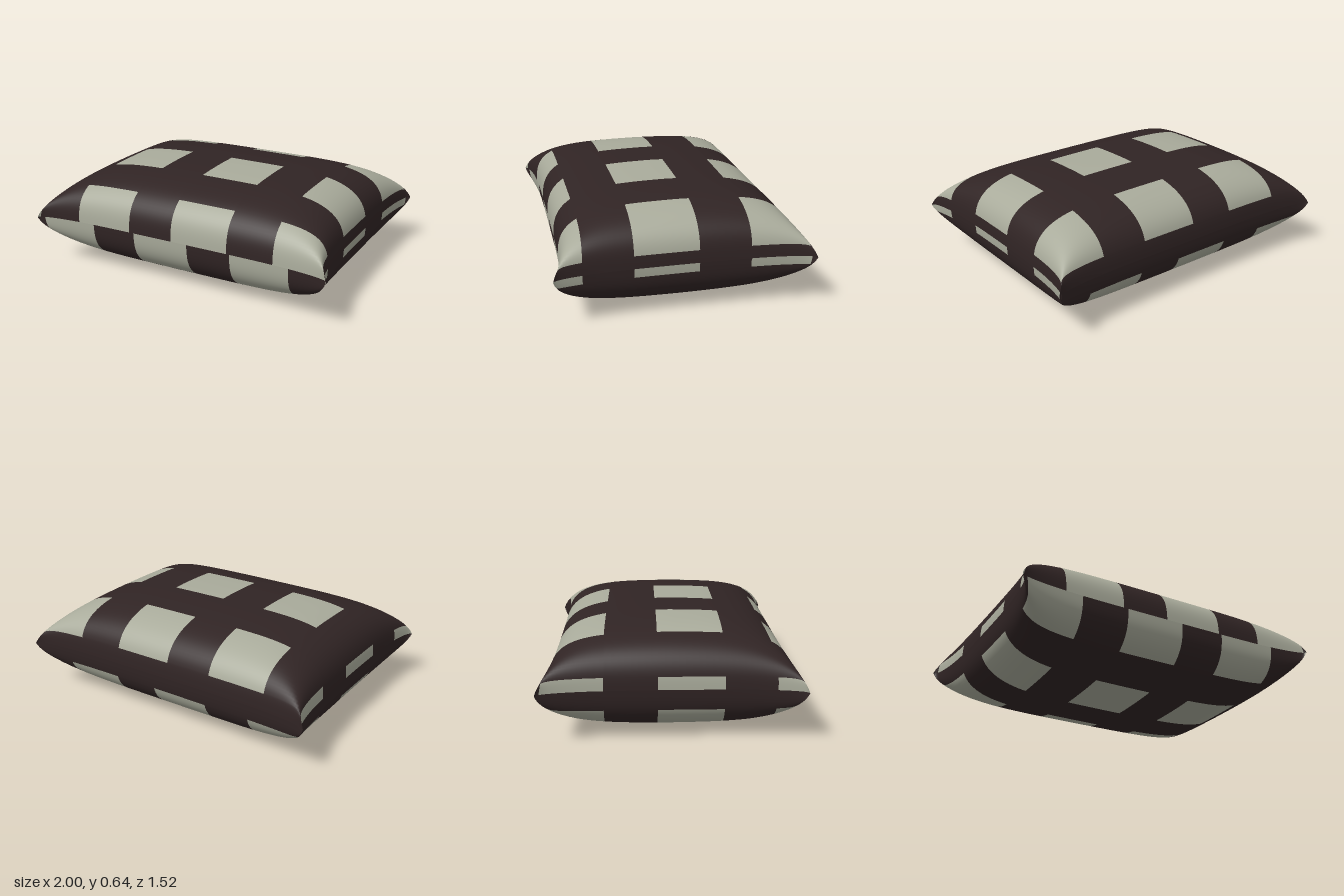
import * as THREE from 'three';

// Flat cloth half sizes, and the printed check: patch width and patch starts
const HALF_U = 1.10, HALF_V = 0.86, PATCH = 0.38;
const TOP_U = [-1.41, -0.71, -0.03, 0.65];
const BOTTOM_U = [-0.98, -0.30, 0.37, 1.05];
const STARTS_V = [-0.765, -0.08, 0.595];

const darkCloth = new THREE.MeshStandardMaterial({ color: 0x302424 });
darkCloth.name = 'darkCloth';
const paleCloth = new THREE.MeshStandardMaterial({ color: 0xa9ab9b });
paleCloth.name = 'paleCloth';

// Grid lines over the cloth, with exact lines along the patch borders
function gridLines(half, starts, count) {
  const borders = starts.flatMap((s) => [s, s + PATCH]).filter((b) => Math.abs(b) < half);
  borders.push(-half, half);
  const lines = [...borders];
  for (let i = 1; i < count; i++) {
    const p = half * Math.sin((i / count - 0.5) * Math.PI); // denser near the seam
    if (borders.every((b) => Math.abs(b - p) > 0.007)) lines.push(p);
  }
  return lines.sort((a, b) => a - b);
}

const inPatch = (p, starts) => starts.some((s) => p > s && p < s + PATCH);

// Cloth pulled inwards by the filling, least at the corners
function pulled(p, half, loss) {
  const d = half - Math.abs(p);
  return Math.sign(p) * (Math.abs(p) - loss * (1 - Math.tanh(d / (1.05 * loss))));
}

// Puffed position of a cloth point; side is 1 for the top and -1 for the bottom
function puff(u, v, side) {
  const du = HALF_U - Math.abs(u), dv = HALF_V - Math.abs(v);
  const x = pulled(u, HALF_U, 0.18 - 0.08 * (1 - Math.tanh(dv / 0.3)));
  const z = pulled(v, HALF_V, 0.17 - 0.07 * (1 - Math.tanh(du / 0.3)));
  const fu = Math.tanh(du / 0.29), fv = Math.tanh(dv / 0.29);
  const rise = fu > 1e-6 && fv > 1e-6 ? 0.32 / Math.sqrt(fu ** -2 + fv ** -2 - 1) : 0;
  return [x, 0.32 + side * rise, z];
}

function panel(name, side, startsU) {
  const us = gridLines(HALF_U, startsU, 80);
  const vs = gridLines(HALF_V, STARTS_V, 70);
  const positions = [], dark = [], pale = [];
  for (const v of vs) for (const u of us) positions.push(...puff(u, v, side));
  for (let j = 0; j < vs.length - 1; j++) {
    for (let i = 0; i < us.length - 1; i++) {
      const a = j * us.length + i, b = a + 1, c = a + us.length, d = c + 1;
      const isPale = inPatch((us[i] + us[i + 1]) / 2, startsU)
        && inPatch((vs[j] + vs[j + 1]) / 2, STARTS_V);
      const faces = side > 0 ? [a, c, b, b, c, d] : [a, b, c, b, d, c];
      (isPale ? pale : dark).push(...faces);
    }
  }
  const geometry = new THREE.BufferGeometry();
  geometry.setAttribute('position', new THREE.Float32BufferAttribute(positions, 3));
  geometry.setIndex([...dark, ...pale]);
  geometry.addGroup(0, dark.length, 0);
  geometry.addGroup(dark.length, pale.length, 1);
  geometry.computeVertexNormals();
  const mesh = new THREE.Mesh(geometry, [darkCloth, paleCloth]);
  mesh.name = name;
  return mesh;
}

export function createModel() {
  const pillow = new THREE.Group();
  pillow.name = 'pillow';
  // Two puffed panels meeting at a sharp seam
  pillow.add(panel('topPanel', 1, TOP_U), panel('bottomPanel', -1, BOTTOM_U));
  return pillow;
}
